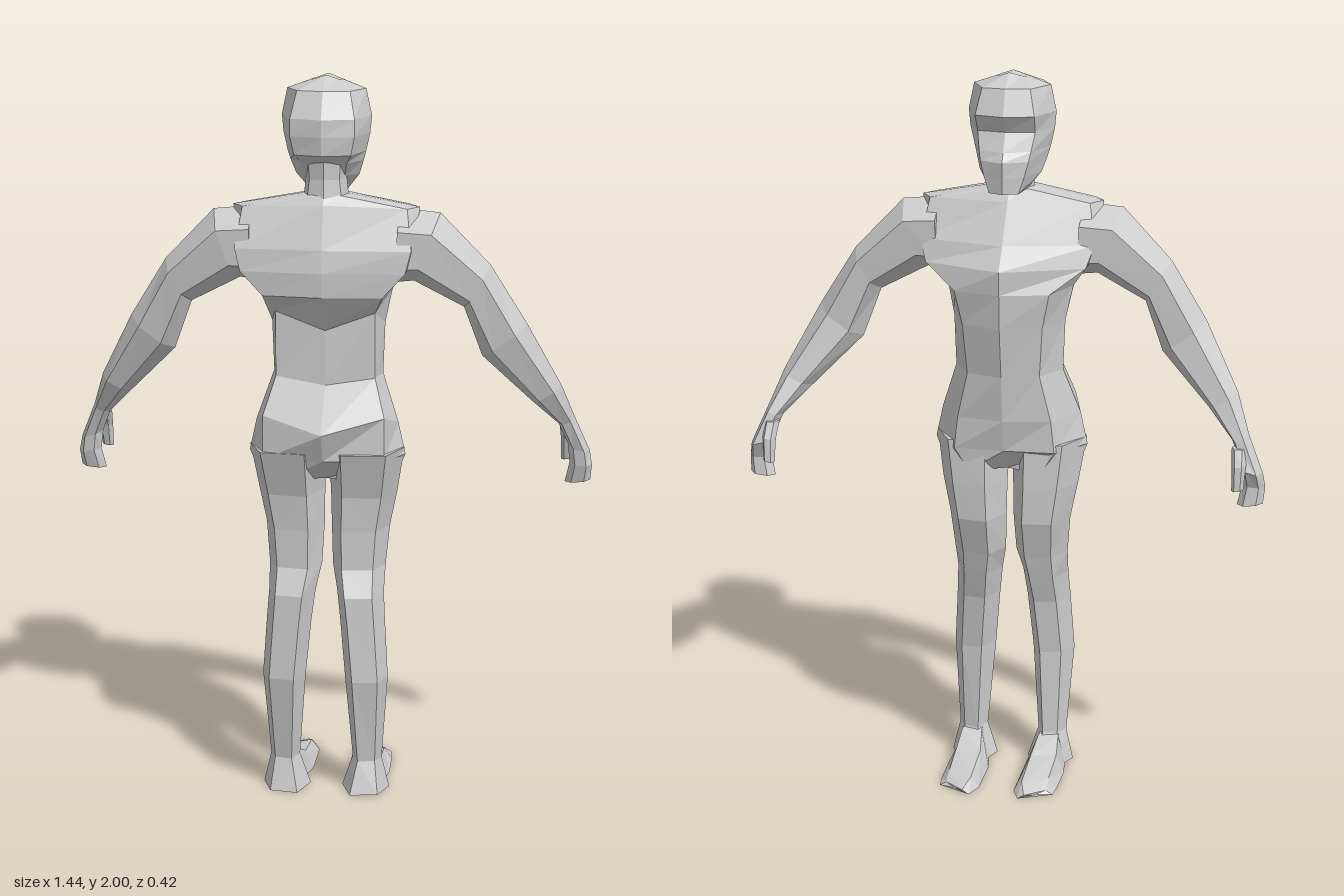
import * as THREE from 'three';

const clay = new THREE.MeshStandardMaterial({ color: 0xcccccc });
clay.name = 'clay grey';

// Faceted skin through closed rings of [x, y, z], capped at both ends.
// The signed volume decides the winding, so mirrored rings work as well.
function loft(name, rings) {
  const tris = [];
  const n = rings[0].length;
  for (let r = 0; r < rings.length - 1; r++) {
    for (let i = 0; i < n; i++) {
      const j = (i + 1) % n;
      const a = rings[r][i], b = rings[r][j], c = rings[r + 1][j], d = rings[r + 1][i];
      tris.push([a, b, c], [a, c, d]);
    }
  }
  const cap = (ring, flip) => {
    const mid = [0, 1, 2].map(k => ring.reduce((s, p) => s + p[k], 0) / n);
    ring.forEach((p, i) => {
      const q = ring[(i + 1) % n];
      tris.push(flip ? [mid, q, p] : [mid, p, q]);
    });
  };
  cap(rings[0], true);
  cap(rings[rings.length - 1], false);

  let volume = 0;
  const [a, b, c] = [0, 1, 2].map(() => new THREE.Vector3());
  for (const t of tris) {
    volume += a.fromArray(t[0]).dot(b.fromArray(t[1]).cross(c.fromArray(t[2])));
  }
  if (volume < 0) tris.forEach(t => t.reverse());

  const geometry = new THREE.BufferGeometry();
  geometry.setAttribute('position', new THREE.Float32BufferAttribute(tris.flat(2), 3));
  geometry.computeVertexNormals();
  const mesh = new THREE.Mesh(geometry, clay);
  mesh.name = name;
  return mesh;
}

// Symmetric ring from [x, z, dy] points running from face side to back side
function symmetric([y, ...half]) {
  const side = half.map(([x, z, dy = 0]) => [x, y + dy, z]);
  const other = side.slice(1, -1).reverse().map(([x, yy, z]) => [-x, yy, z]);
  return [...side, ...other];
}

// Six-sided horizontal ring for a leg: [y, inner x, outer x, front z, back z]
function legRing([y, xi, xo, zf, zb]) {
  const w = xo - xi, zm = zf + (zb - zf) * 0.5;
  return [
    [xi + w * 0.22, y, zb], [xo - w * 0.2, y, zb - 0.01], [xo, y, zm],
    [xo - w * 0.25, y, zf + 0.01], [xi + w * 0.25, y, zf], [xi, y, zm],
  ];
}

// Six-sided ring across an arm: outer x, y, inner x, y, front z, back z
function armRing([xo, yo, xi, yi, zf, zb]) {
  const at = (t, z) => [xo + (xi - xo) * t, yo + (yi - yo) * t, z];
  const zm = (zf + zb) / 2;
  return [at(0, zm), at(0.25, zb), at(0.75, zb), at(1, zm), at(0.75, zf), at(0.25, zf)];
}

function createModel() {
  const model = new THREE.Group();
  model.name = 'figure';

  // Trunk, from neck base to crotch
  model.add(loft('torso', [
    [1.69, [0, 0.025], [0.035, 0.035], [0.05, 0.08], [0.035, 0.13], [0, 0.14]],
    [1.655, [0, 0], [0.22, 0.03], [0.25, 0.08], [0.22, 0.125], [0, 0.155, 0.01]],
    [1.55, [0, -0.075], [0.24, -0.01], [0.25, 0.07], [0.235, 0.175], [0, 0.19]],
    [1.49, [0, -0.125], [0.22, -0.035], [0.22, 0.06], [0.22, 0.18], [0, 0.2]],
    [1.425, [0, -0.12], [0.13, -0.085], [0.175, 0.04], [0.16, 0.18], [0, 0.197]],
    [1.33, [0, -0.115], [0.11, -0.075], [0.155, 0.03], [0.135, 0.11, 0.04], [0, 0.115, -0.01]],
    [1.19, [0, -0.092], [0.1, -0.06], [0.15, 0.03], [0.135, 0.105], [0, 0.12, -0.02]],
    [1.06, [0, -0.075], [0.13, -0.05], [0.195, 0.06], [0.165, 0.155, 0.03], [0, 0.207, -0.01]],
    [0.97, [0, -0.055], [0.14, -0.05], [0.215, 0.06], [0.165, 0.16], [0, 0.17]],
    [0.905, [0, 0], [0.1, -0.045], [0.19, 0.05], [0.12, 0.135], [0, 0.1]],
  ].map(symmetric)));

  model.add(loft('neck', [
    [1.82, [0, 0.02], [0.04, 0.03], [0.06, 0.08], [0.045, 0.13], [0, 0.15]],
    [1.73, [0, 0.03], [0.035, 0.04], [0.055, 0.08], [0.04, 0.125], [0, 0.14]],
    [1.64, [0, 0.02], [0.045, 0.035], [0.065, 0.08], [0.05, 0.13], [0, 0.15]],
  ].map(symmetric)));

  // Head with brow, eye hollow and chin towards -z
  model.add(loft('head', [
    [2, [0, 0.03], [0.03, 0.04, -0.01], [0.045, 0.06, -0.014], [0.03, 0.08, -0.01], [0, 0.08]],
    [1.965, [0, -0.03], [0.065, -0.02], [0.105, 0.07], [0.07, 0.145], [0, 0.16]],
    [1.895, [0, -0.062], [0.08, -0.04], [0.12, 0.07], [0.085, 0.175], [0, 0.2]],
    [1.85, [0, -0.03], [0.078, -0.015], [0.116, 0.07], [0.085, 0.178], [0, 0.2]],
    [1.8, [0, -0.06], [0.07, -0.035], [0.105, 0.07], [0.075, 0.172], [0, 0.195]],
    [1.775, [0, -0.078], [0.065, -0.045], [0.098, 0.065], [0.06, 0.13], [0, 0.14]],
    [1.735, [0, -0.075], [0.055, -0.05], [0.085, 0.045], [0.05, 0.09], [0, 0.1]],
    [1.69, [0, -0.072], [0.04, -0.055], [0.05, 0.025], [0.03, 0.04], [0, 0.04]],
  ].map(symmetric)));

  // Limbs, built once per side
  for (const [label, s] of [['left', 1], ['right', -1]]) {
    const add = (name, rings) => model.add(
      loft(label + name, rings.map(ring => ring.map(([x, y, z]) => [s * x, y, z]))));

    add('Leg', [
      [0.99, 0.003, 0.213, -0.05, 0.18],
      [0.86, 0.008, 0.192, -0.055, 0.138],
      [0.76, 0.01, 0.172, -0.055, 0.13],
      [0.65, 0.015, 0.162, -0.02, 0.13],
      [0.58, 0.03, 0.16, 0, 0.165],
      [0.5, 0.04, 0.165, 0.025, 0.168],
      [0.34, 0.055, 0.175, 0.045, 0.175],
      [0.09, 0.075, 0.157, 0.04, 0.132],
      [0, 0.045, 0.178, 0, 0.162],
    ].map(legRing));

    // Foot: sections along z, [inner x, outer x, height, inner z, outer z]
    add('Foot', [
      [0.075, 0.15, 0.09, 0.1, 0.1],
      [0.065, 0.16, 0.085, 0.04, 0.04],
      [0.05, 0.17, 0.05, -0.03, -0.02],
      [0.05, 0.167, 0.03, -0.165, -0.125],
      [0.07, 0.162, 0.012, -0.213, -0.17],
    ].map(([xi, xo, h, zi, zo]) => {
      const w = (xo - xi) * 0.2;
      return [[xi, 0, zi], [xo, 0, zo], [xo - w, h, zo], [xi + w, h, zi]];
    }));

    add('Arm', [
      [0.2, 1.65, 0.19, 1.45, -0.02, 0.17],
      [0.305, 1.64, 0.235, 1.455, -0.015, 0.165],
      [0.44, 1.5, 0.37, 1.385, -0.002, 0.135],
      [0.54, 1.34, 0.42, 1.25, 0, 0.11],
      [0.635, 1.16, 0.555, 1.115, -0.045, 0.05],
      [0.672, 1.06, 0.628, 1.04, -0.09, -0.01],
    ].map(armRing));

    // Palm with curled fingers
    add('Hand', [
      [0.672, 1.06, 0.628, 1.04, -0.09, -0.01],
      [0.715, 0.96, 0.655, 0.975, -0.115, -0.035],
      [0.722, 0.92, 0.66, 0.925, -0.095, -0.04],
      [0.718, 0.875, 0.648, 0.868, -0.1, -0.055],
    ].map(armRing));

    add('Thumb', [
      [0.67, 1.03, 0.63, 1.03, -0.105, -0.06],
      [0.672, 0.99, 0.634, 0.985, -0.13, -0.09],
      [0.668, 0.925, 0.636, 0.92, -0.137, -0.11],
    ].map(armRing));
  }
  return model;
}

export { createModel };
